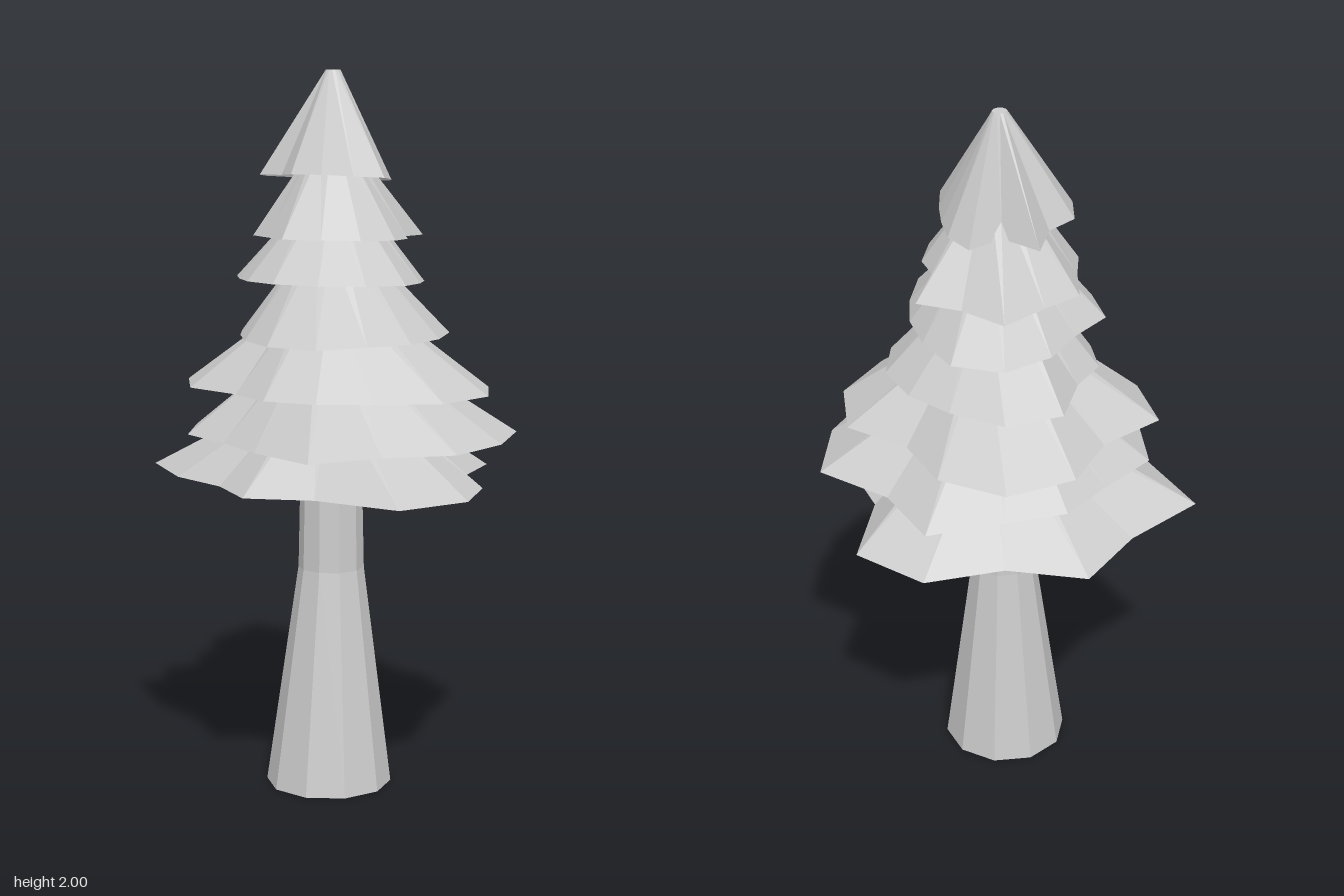
import * as THREE from 'three';

const SIDES = 14;

// Jagged open skirt: a small regular ring on top, an uneven ring of tips below.
// The rim tilts, rising by `tilt` for each unit towards the front.
function skirtGeometry({ top, topY, rimY, tilt, tips }) {
  const positions = [];
  const index = [];
  for (let i = 0; i < SIDES; i++) {
    const a = (i / SIDES) * Math.PI * 2;
    const c = Math.cos(a), s = Math.sin(a);
    positions.push(c * top, topY, s * top);
    positions.push(c * tips[i], rimY + tilt * s * tips[i], s * tips[i]);
    const n = (i + 1) % SIDES;
    index.push(2 * i, 2 * n, 2 * i + 1, 2 * n, 2 * n + 1, 2 * i + 1);
  }
  const g = new THREE.BufferGeometry();
  g.setAttribute('position', new THREE.Float32BufferAttribute(positions, 3));
  g.setIndex(index);
  g.computeVertexNormals();
  return g;
}

// Open trunk, flared at the foot; the foot is shifted a little to the front.
function trunkGeometry() {
  const profile = [[0.176, 0], [0.092, 0.62], [0.086, 0.9], [0.07, 1.5], [0.02, 1.93]];
  const g = new THREE.LatheGeometry(profile.map(([r, y]) => new THREE.Vector2(r, y)), 10);
  const p = g.attributes.position;
  for (let i = 0; i < p.count; i++) {
    p.setZ(i, p.getZ(i) + 0.018 * Math.max(0, 1 - p.getY(i) / 0.62));
  }
  g.computeVertexNormals();
  return g;
}

// Branch tiers from bottom to top; tips are radii counted from +x towards +z.
const TIERS = [
  { top: 0.09, topY: 1.13, rimY: 0.875, tilt: 0.035, tips: [0.43, 0.51, 0.545, 0.39, 0.44, 0.365, 0.44, 0.557, 0.45, 0.51, 0.41, 0.505, 0.51, 0.36] },
  { top: 0.09, topY: 1.27, rimY: 1.0, tilt: 0.01, tips: [0.483, 0.47, 0.41, 0.495, 0.385, 0.35, 0.41, 0.422, 0.36, 0.39, 0.39, 0.49, 0.40, 0.51] },
  { top: 0.09, topY: 1.39, rimY: 1.13, tilt: 0.02, tips: [0.445, 0.42, 0.35, 0.345, 0.34, 0.31, 0.40, 0.445, 0.35, 0.43, 0.46, 0.41, 0.33, 0.43] },
  { top: 0.08, topY: 1.53, rimY: 1.28, tilt: 0, tips: [0.305, 0.30, 0.29, 0.34, 0.32, 0.28, 0.26, 0.275, 0.26, 0.36, 0.375, 0.33, 0.32, 0.32] },
  { top: 0.07, topY: 1.66, rimY: 1.43, tilt: 0.05, tips: [0.25, 0.28, 0.28, 0.29, 0.29, 0.27, 0.26, 0.29, 0.25, 0.29, 0.33, 0.32, 0.27, 0.25] },
  { top: 0.06, topY: 1.79, rimY: 1.55, tilt: 0.04, tips: [0.215, 0.24, 0.24, 0.23, 0.245, 0.21, 0.22, 0.21, 0.26, 0.25, 0.31, 0.25, 0.29, 0.18] },
  { top: 0.02, topY: 2.00, rimY: 1.71, tilt: 0.1, tips: [0.165, 0.20, 0.18, 0.215, 0.20, 0.16, 0.20, 0.20, 0.16, 0.22, 0.13, 0.20, 0.18, 0.16] },
];

export function createModel() {
  const tree = new THREE.Group();
  tree.name = 'pineTree';

  const grey = new THREE.MeshStandardMaterial({ color: 0xcccccc, flatShading: true, side: THREE.DoubleSide });
  grey.name = 'light grey';

  const trunk = new THREE.Mesh(trunkGeometry(), grey);
  trunk.name = 'trunk';
  trunk.position.set(0.027, 0, 0.008);
  tree.add(trunk);

  // Crown of overlapping branch skirts, leaning slightly forward
  const crown = new THREE.Group();
  crown.name = 'crown';
  crown.position.x = 0.037;
  TIERS.forEach((tier, i) => {
    const skirt = new THREE.Mesh(skirtGeometry(tier), grey);
    skirt.name = `branchTier${i + 1}`;
    skirt.position.z = 0.0035 * i;
    crown.add(skirt);
  });

  // Flat cap closing the tip
  const cap = new THREE.Mesh(new THREE.CircleGeometry(0.02, SIDES), grey);
  cap.name = 'tipCap';
  cap.rotation.x = -Math.PI / 2;
  cap.position.set(0, 2, 0.021);
  crown.add(cap);
  tree.add(crown);

  return tree;
}
